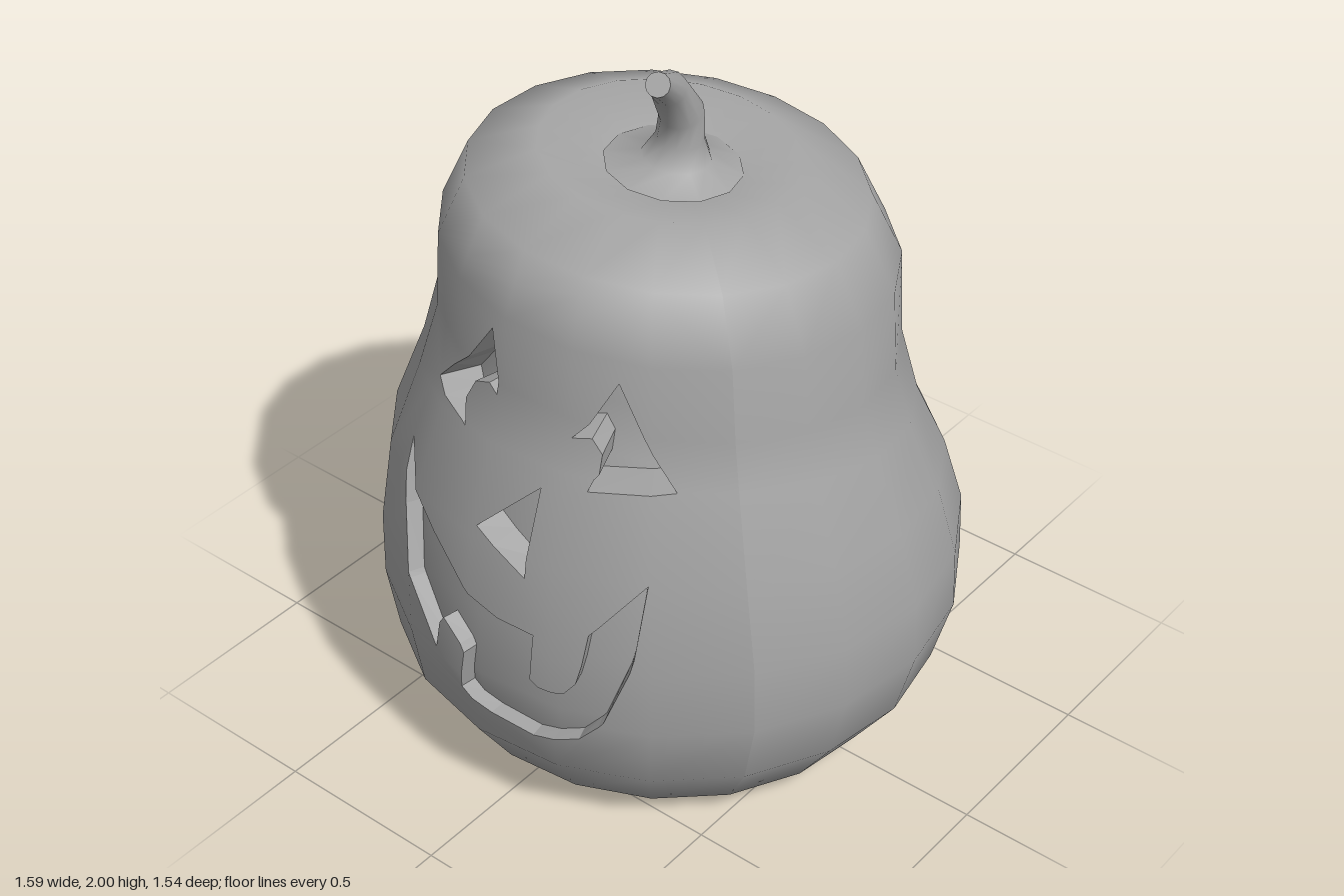
import * as THREE from 'three';
import { mergeVertices } from 'three/addons/utils/BufferGeometryUtils.js';

const SIDES = 19, STEP = (Math.PI * 2) / SIDES, START = THREE.MathUtils.degToRad(-41.4);
// Body profile, bottom to top: [radius, height, slope along x, slope along z, shift in z]
const PROFILE = [[0, 0, 0, 0, 0.02], [0.27, 0, 0, 0, 0.02], [0.635, 0.07, 0, 0, 0.025], [0.755, 0.24, 0, 0, 0.02],
  [0.798, 0.42, 0, 0, 0.003], [0.793, 0.6, 0, 0.02, 0.005], [0.745, 0.82, 0, 0.08, 0.02],
  [0.658, 1.03, 0, 0.15, 0.025], [0.605, 1.22, -0.08, 0.08, 0.03], [0.585, 1.45, -0.1, 0.04, 0.032],
  [0.508, 1.615, -0.1, 0.04, 0.04], [0.33, 1.692, -0.1, 0.04, 0.035], [0.17, 1.64, -0.1, 0.04, 0.025],
  [0, 1.635, -0.1, 0.04, 0.022]];
const ROWS = PROFILE.length - 1;
// Grid area on the front that carries the carving
const PATCH = { u1: 5, t0: 3, t1: 10 };
// Sharp upright seams part the smooth body into these column ranges
const SECTIONS = [[-4, 5], [5, 15], [15, 24]];

// Grid corner of the body
function corner(i, j) {
  const [r, y, slopeX, slopeZ, shift] = PROFILE[j], a = START + i * STEP;
  const x = r * Math.sin(a), z = r * Math.cos(a) * (y > 1.3 ? 1 : 0.97);
  return new THREE.Vector3(x + 0.02 * THREE.MathUtils.smoothstep(y, 0.8, 1.4), y + slopeX * x + slopeZ * z, z + shift);
}

// Smooth normal of a corner, using only faces on the same side of a seam as the given column
function cornerNormal(i, j, column) {
  if (j === 0 || j === ROWS) return new THREE.Vector3(0, j ? 1 : -1, 0);
  const [lo, hi] = SECTIONS.find(([a, b]) => column >= a && column < b);
  const du = corner(Math.min(i + 1, hi), j).sub(corner(Math.max(i - 1, lo), j));
  const dt = corner(i, j + 1).sub(corner(i, j - 1));
  return du.cross(dt).normalize();
}

// Blend of a corner function at grid position (u, t)
function blend(f, u, t, i = Math.floor(u)) {
  const j = THREE.MathUtils.clamp(Math.floor(t), 0, ROWS - 1);
  const low = f(i, j, i).lerp(f(i + 1, j, i), u - i);
  return low.lerp(f(i, j + 1, i).lerp(f(i + 1, j + 1, i), u - i), t - j);
}

// Point of the skin, sunk towards the axis by depth
function skin(u, t, depth = 0) {
  const p = blend(corner, u, t);
  const inward = new THREE.Vector3(p.x, 0, p.z).normalize();
  return p.addScaledVector(inward, -depth);
}

// Grid position of a point seen from the front
function locate([x, y]) {
  let u = 2.2, t = 6;
  for (let k = 0; k < 60; k++) {
    const p = skin(u, t);
    u = THREE.MathUtils.clamp(u + (0.6 * (x - p.x)) / 0.22, 0.05, 4.95);
    t = THREE.MathUtils.clamp(t + (0.6 * (y - p.y)) / 0.22, 3.05, 9.95);
  }
  return new THREE.Vector2(u, t);
}

// Add points where an outline crosses the grid lines
function crossGrid(outline) {
  return outline.flatMap((a, n) => {
    const b = outline[(n + 1) % outline.length], cuts = [0];
    for (const axis of ['x', 'y']) {
      for (let k = 1; k < ROWS; k++) {
        const s = (k - a[axis]) / (b[axis] - a[axis]);
        if (s > 1e-4 && s < 1 - 1e-4) cuts.push(s);
      }
    }
    return cuts.sort((p, q) => p - q).map((s) => a.clone().lerp(b, s));
  });
}

// Cut a convex polygon along one grid line
function cut(poly, axis, k) {
  const above = [], below = [];
  const side = (p) => (Math.abs(p[axis] - k) < 1e-6 ? 0 : p[axis] - k);
  poly.forEach((p, n) => {
    const q = poly[(n + 1) % poly.length], d = side(p), e = side(q);
    if (d >= 0) above.push(p);
    if (d <= 0) below.push(p);
    if (d * e < 0) {
      const m = p.clone().lerp(q, d / (d - e));
      above.push(m);
      below.push(m);
    }
  });
  return [above, below].filter((s) => s.length > 2 && Math.abs(THREE.ShapeUtils.area(s)) > 1e-9);
}

// Triangles of an outline with holes, cut along the grid lines of the patch
function triangulate(outline, holes = []) {
  const all = [outline, ...holes].flat();
  let polys = THREE.ShapeUtils.triangulateShape(outline, holes).map((f) => f.map((n) => all[n]));
  polys = polys.map(([a, b, c]) => (THREE.ShapeUtils.area([a, b, c]) < 0 ? [a, c, b] : [a, b, c]));
  for (let k = 1; k < PATCH.u1; k++) polys = polys.flatMap((p) => cut(p, 'x', k));
  for (let k = PATCH.t0 + 1; k < PATCH.t1; k++) polys = polys.flatMap((p) => cut(p, 'y', k));
  return polys.flatMap((p) => p.slice(2).map((c, n) => [p[0], p[n + 1], c]));
}

function geometryFrom(pos, nor) {
  const g = new THREE.BufferGeometry();
  g.setAttribute('position', new THREE.Float32BufferAttribute(pos, 3));
  if (nor) g.setAttribute('normal', new THREE.Float32BufferAttribute(nor, 3));
  else g.computeVertexNormals();
  return g;
}

// Lay flat grid triangles on the skin
function drape(tris, depth = 0) {
  const pos = [], nor = [];
  for (const tri of tris) {
    const column = Math.floor((tri[0].x + tri[1].x + tri[2].x) / 3);
    for (const p of tri) {
      pos.push(...skin(p.x, p.y, depth).toArray());
      nor.push(...blend(cornerNormal, p.x, p.y, column).normalize().toArray());
    }
  }
  return mergeVertices(geometryFrom(pos, nor));
}

// Side walls of a carved recess
function recessWalls(outline, depth) {
  const pos = [];
  outline.forEach((a, k) => {
    const b = outline[(k + 1) % outline.length];
    const p0 = skin(a.x, a.y), q0 = skin(b.x, b.y), p1 = skin(a.x, a.y, depth), q1 = skin(b.x, b.y, depth);
    for (const v of [p0, q0, q1, p0, q1, p1]) pos.push(...v.toArray());
  });
  return geometryFrom(pos);
}

// Carved outlines as seen from the front
const CARVINGS = [
  { name: 'rightEye', depth: 0.11, points: [[-0.07, 1.42], [-0.29, 1.165], [-0.145, 1.115], [-0.16, 1.18],
    [-0.135, 1.235], [-0.085, 1.255], [-0.05, 1.24]] },
  { name: 'leftEye', depth: 0.11, points: [[0.28, 1.38], [0.18, 1.21], [0.225, 1.215], [0.255, 1.18],
    [0.258, 1.13], [0.24, 1.085], [0.425, 1.1]] },
  { name: 'nose', depth: 0.09, points: [[0.125, 1.065], [-0.035, 0.91], [0.12, 0.82]] },
  { name: 'mouth', depth: 0.045, points: [[-0.365, 0.96], [-0.2, 0.8], [-0.065, 0.71], [0.045, 0.67], [0.155, 0.665],
    [0.145, 0.52], [0.17, 0.505], [0.24, 0.51], [0.27, 0.55], [0.295, 0.705], [0.315, 0.73], [0.42, 0.875],
    [0.405, 0.655], [0.335, 0.435], [0.27, 0.36], [0.14, 0.32], [0.01, 0.335], [-0.09, 0.37], [-0.065, 0.505],
    [-0.08, 0.525], [-0.15, 0.565], [-0.17, 0.535], [-0.19, 0.44], [-0.295, 0.6], [-0.35, 0.785]] },
];

// Bent stem from round sections: [x, y, z, radius]
function stemGeometry() {
  const sections = [[0.02, 1.645, 0.022, 0.178], [0.03, 1.672, 0.022, 0.09], [0.04, 1.73, 0.02, 0.062],
    [0.05, 1.805, 0.027, 0.057], [0.06, 1.9, 0.09, 0.046], [0.115, 1.975, 0.198, 0.031]];
  const n = 12, pos = [], index = [], up = new THREE.Vector3(0, 1, 0);
  const at = (k) => new THREE.Vector3(...sections[Math.min(k, sections.length - 1)]);
  sections.forEach((s, k) => {
    const dir = k < 2 ? new THREE.Vector3(0.1, 1, -0.04) : at(k + 1).sub(at(k - 1));
    const turn = new THREE.Quaternion().setFromUnitVectors(up, dir.normalize());
    for (let i = 0; i < n; i++) {
      const a = (i / n) * Math.PI * 2;
      const p = new THREE.Vector3(Math.sin(a) * s[3], 0, Math.cos(a) * s[3]).applyQuaternion(turn).add(at(k));
      pos.push(...p.toArray());
      if (k === 0) continue;
      const d = k * n + i, c = k * n + ((i + 1) % n);
      index.push(d - n, c - n, c, d - n, c, d);
    }
  });
  // Cut end with its own corners, so that its edge stays sharp
  const end = pos.length / 3;
  pos.push(...pos.slice(-3 * n));
  for (let i = 1; i < n - 1; i++) index.push(end, end + i, end + i + 1);
  const g = geometryFrom(pos);
  g.setIndex(index);
  g.deleteAttribute('normal');
  g.computeVertexNormals();
  return g;
}

export function createModel() {
  const model = new THREE.Group();
  model.name = 'carvedPumpkin';
  const material = new THREE.MeshStandardMaterial({ color: 0xa4a4a4 });
  const add = (name, geometry, parent = model) => {
    const mesh = new THREE.Mesh(geometry, material);
    mesh.name = name;
    parent.add(mesh);
  };

  // Plain body outside the carved front
  const { u1, t0, t1 } = PATCH, P = (u, t) => new THREE.Vector2(u, t), cells = [];
  for (let i = 0; i < SIDES; i++) {
    for (let j = 0; j < ROWS; j++) {
      if (i < u1 && j >= t0 && j < t1) continue;
      if (j < ROWS - 1) cells.push([P(i, j), P(i + 1, j + 1), P(i, j + 1)]);
      if (j > 0) cells.push([P(i, j), P(i + 1, j), P(i + 1, j + 1)]);
    }
  }
  add('body', drape(cells));

  // Front skin with the face cut out
  const frame = [];
  for (let u = 0; u < u1; u++) frame.push(P(u, t0));
  for (let t = t0; t < t1; t++) frame.push(P(u1, t));
  for (let u = u1; u > 0; u--) frame.push(P(u, t1));
  for (let t = t1; t > t0; t--) frame.push(P(0, t));
  const outlines = CARVINGS.map(({ points }) => {
    const o = crossGrid(points.map(locate));
    return THREE.ShapeUtils.isClockWise(o) ? o.reverse() : o;
  });
  add('faceSkin', drape(triangulate(frame, outlines.map((o) => [...o].reverse()))));

  // Recesses of the face
  CARVINGS.forEach(({ name, depth }, k) => {
    const recess = new THREE.Group();
    recess.name = name;
    add(name + 'Walls', recessWalls(outlines[k], depth), recess);
    add(name + 'Floor', drape(triangulate(outlines[k]), depth), recess);
    model.add(recess);
  });

  add('stem', stemGeometry());
  return model;
}
